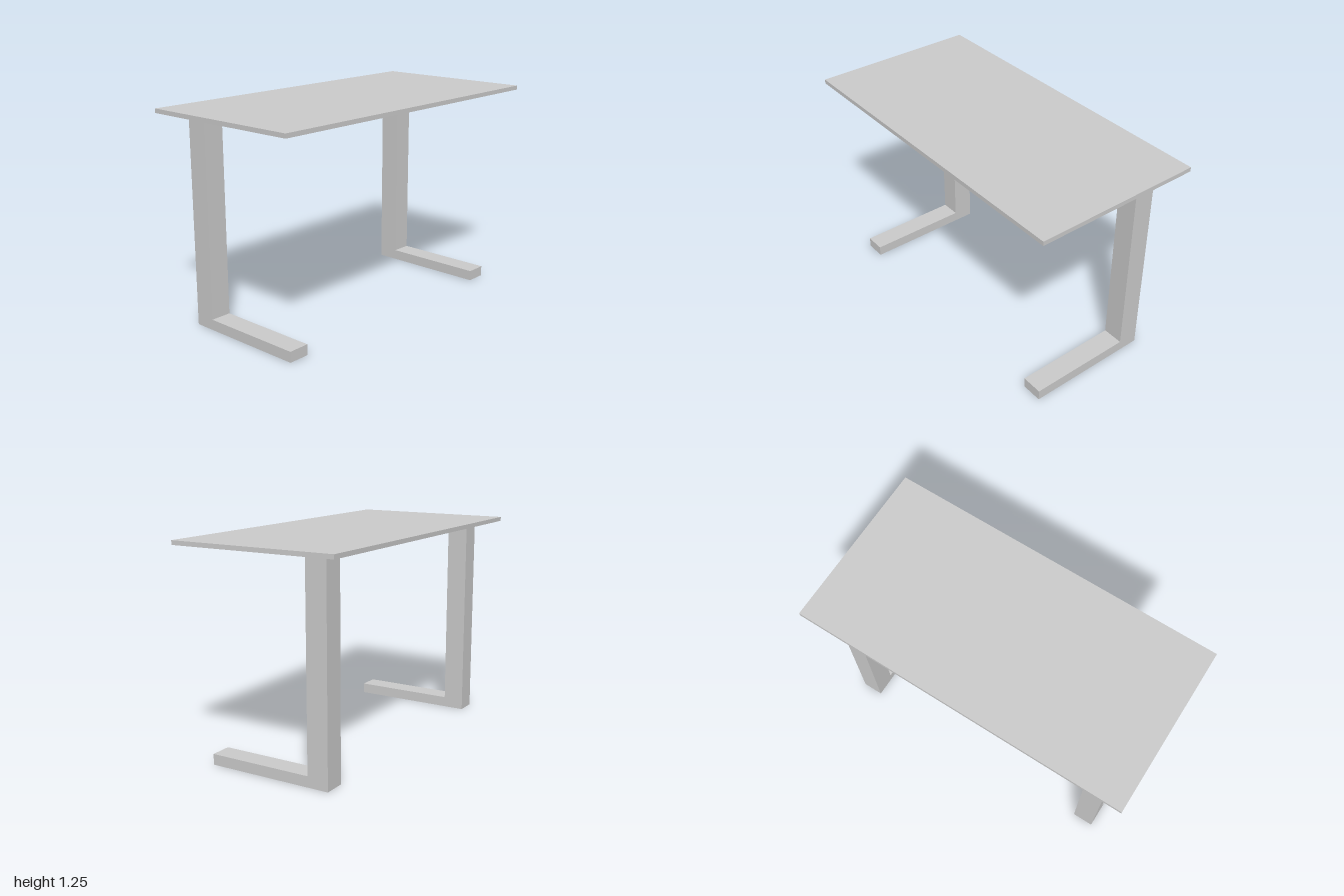
import * as THREE from 'three';

const TOP_Y = 1.25;
const TOP_THICKNESS = 0.025;
const LEG_WIDTH = 0.125;
const LEG_X = 0.8125;

export function createModel() {
  const desk = new THREE.Group();
  desk.name = 'desk';
  const material = new THREE.MeshStandardMaterial({ color: 0xcccccc, flatShading: true });

  // Thin rectangular top
  const top = new THREE.Mesh(new THREE.BoxGeometry(2, TOP_THICKNESS, 1), material);
  top.name = 'tabletop';
  top.position.y = TOP_Y - TOP_THICKNESS / 2;
  desk.add(top);

  // L-shaped side profile: rear column with a foot reaching forward (profile x is -z)
  const columnTop = TOP_Y - TOP_THICKNESS;
  const profile = new THREE.Shape([
    [-0.375, 0], [0.375, 0], [0.375, columnTop],
    [0.25, columnTop], [0.25, 0.0625], [-0.375, 0.0625],
  ].map(([x, y]) => new THREE.Vector2(x, y)));
  const legGeometry = new THREE.ExtrudeGeometry(profile, { depth: LEG_WIDTH, bevelEnabled: false });
  legGeometry.translate(0, 0, -LEG_WIDTH / 2).rotateY(Math.PI / 2);

  // One leg on each side
  for (const [name, side] of [['leftLeg', 1], ['rightLeg', -1]]) {
    const leg = new THREE.Mesh(legGeometry, material);
    leg.name = name;
    leg.position.x = side * LEG_X;
    desk.add(leg);
  }

  return desk;
}
